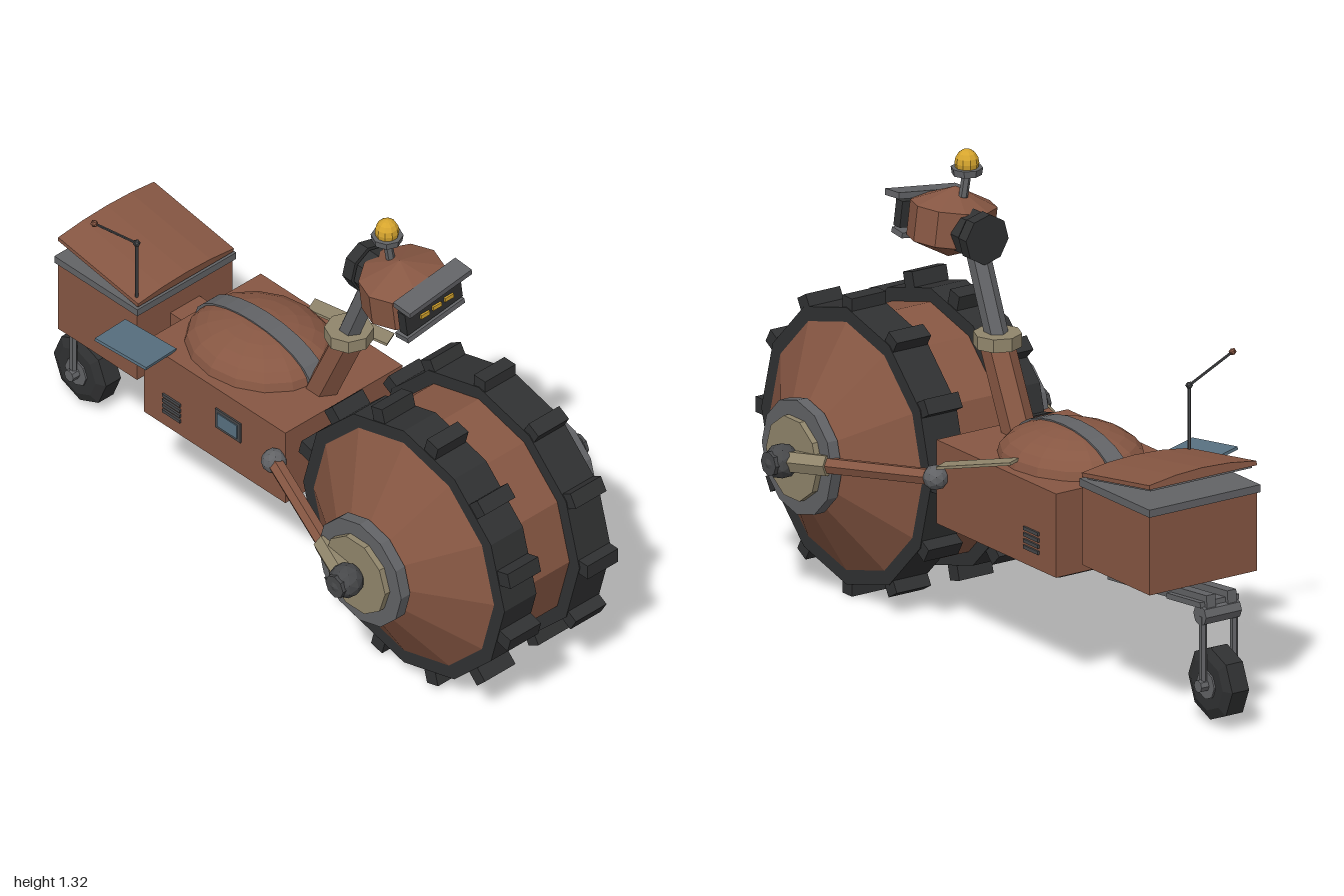
import * as THREE from 'three';

const mat = (name, color) => new THREE.MeshStandardMaterial({ name, color, flatShading: true });

export function createModel() {
  const rust = mat('rust brown paint', 0x875743);
  const rubber = mat('black rubber', 0x303132);
  const steel = mat('grey steel', 0x626366);
  const darkSteel = mat('dark steel', 0x47484a);
  const sand = mat('sand metal', 0x91866c);
  const amber = mat('amber light', 0xd6a52e);
  const slate = mat('slate blue panel', 0x587080);

  const root = new THREE.Group();
  root.name = 'vehicle';

  const add = (name, geo, m, pos = [0, 0, 0], rot = [0, 0, 0], parent = root) => {
    const mesh = new THREE.Mesh(geo, m);
    mesh.name = name;
    mesh.position.set(...pos);
    mesh.rotation.set(...rot);
    parent.add(mesh);
    return mesh;
  };
  const box = (name, size, m, pos, rot, parent) => add(name, new THREE.BoxGeometry(...size), m, pos, rot, parent);
  // Cylinder lying along x
  const axleCyl = (r1, r2, len, sides) => new THREE.CylinderGeometry(r1, r2, len, sides).rotateZ(-Math.PI / 2);
  // Round bar between two points
  const bar = (name, a, b, r, m, sides = 6, parent = root, r2 = r) => {
    const p = new THREE.Vector3(...a), q = new THREE.Vector3(...b);
    const mesh = add(name, new THREE.CylinderGeometry(r2, r, p.distanceTo(q), sides), m, [0, 0, 0], [0, 0, 0], parent);
    mesh.position.copy(p).add(q).multiplyScalar(0.5);
    mesh.quaternion.setFromUnitVectors(new THREE.Vector3(0, 1, 0), q.sub(p).normalize());
    return mesh;
  };
  const lathe = (pts, sides) =>
    new THREE.LatheGeometry(pts.map(p => new THREE.Vector2(...p)), sides).rotateZ(-Math.PI / 2);

  // Front roller: drum with conical ends and two treaded tyres
  const wheel = new THREE.Group();
  wheel.name = 'frontWheel';
  wheel.position.set(0, 0.43, 0.575);
  root.add(wheel);
  add('drum', lathe([[0, -0.335], [0.14, -0.335], [0.36, -0.2], [0.36, 0.2], [0.14, 0.335], [0, 0.335]], 12),
    rust, [0, 0, 0], [0, 0, 0], wheel);
  for (const s of [1, -1]) {
    add('tyre', lathe([[0.34, -0.06], [0.4, -0.06], [0.4, 0.06], [0.34, 0.06]], 12), rubber,
      [s * 0.141, 0, 0], [0, 0, 0], wheel);
    for (let i = 0; i < 12; i++) {
      const a = i * Math.PI / 6 + (s < 0 ? Math.PI / 12 : 0);
      box('treadBlock', [0.115, 0.06, 0.045], rubber,
        [s * 0.141, 0.4 * Math.cos(a), 0.4 * Math.sin(a)], [a, 0, 0], wheel);
    }
    add('hubDisc', axleCyl(0.165, 0.165, 0.034, 12), steel, [s * 0.35, 0, 0], [0, 0, 0], wheel);
    add('hubCap', axleCyl(0.12, 0.12, 0.018, 10), sand, [s * 0.376, 0, 0], [0, 0, 0], wheel);
    add('axleBall', new THREE.IcosahedronGeometry(0.05, 1), darkSteel, [s * 0.418, 0, 0], [0, 0, 0], wheel);
    add('axleEnd', axleCyl(0.035, 0.035, 0.04, 8), darkSteel, [s * 0.443, 0, 0], [0, 0, 0], wheel);

    // Side arm from the body to the axle
    const a = [s * 0.24, 0.48, 0.1], b = [s * 0.415, 0.432, 0.57];
    const at = t => a.map((v, i) => v + (b[i] - v) * t);
    bar('sideArm', a, b, 0.024, rust, 6);
    bar('armSleeve', at(0.7), at(0.95), 0.032, sand, 6);
    add('armJoint', new THREE.IcosahedronGeometry(0.036, 1), steel, a);
  }

  // Body
  box('body', [0.44, 0.242, 0.562], rust, [0, 0.457, -0.157]);
  box('bellyPlate', [0.35, 0.022, 0.46], rubber, [0, 0.325, -0.16]);
  const dome = new THREE.SphereGeometry(1, 16, 6, 0, Math.PI * 2, 0, Math.PI / 2);
  add('seatDome', dome, rust, [0, 0.578, -0.205]).scale.set(0.195, 0.095, 0.225);
  // Steel band arching over the dome
  const arc = (rz, ry, flip) => Array.from({ length: 13 }, (_, i) => {
    const t = Math.PI * (flip ? 12 - i : i) / 12;
    return new THREE.Vector2(rz * Math.cos(t), ry * Math.sin(t));
  });
  const band = new THREE.Shape([...arc(0.23, 0.1, false), ...arc(0.21, 0.08, true)]);
  add('domeBand', new THREE.ExtrudeGeometry(band, { depth: 0.058, bevelEnabled: false })
    .translate(0, 0, -0.029).rotateY(Math.PI / 2), steel, [0, 0.576, -0.205]);
  for (const s of [1, -1])
    for (let i = 0; i < 4; i++)
      box('ventSlat', [0.008, 0.01, 0.07], darkSteel, [s * 0.222, 0.386 + i * 0.018, -0.325]);
  box('sideFrame', [0.008, 0.065, 0.1], darkSteel, [-0.221, 0.48, -0.1]);
  box('sideWindow', [0.008, 0.045, 0.078], slate, [-0.224, 0.48, -0.1]);
  box('solarPanel', [0.138, 0.009, 0.178], slate, [-0.264, 0.598, -0.425], [0.1, 0.15, -0.15]);
  const flap = box('sideFlap', [0.052, 0.008, 0.24], sand, [0.248, 0.58, -0.11]);
  flap.lookAt(0.298, 0.553, 0);

  // Neck
  bar('neckBase', [0, 0.56, 0.035], [0, 0.81, 0.15], 0.048, rust, 6);
  add('neckCollar', new THREE.CylinderGeometry(0.068, 0.068, 0.038, 8), sand, [0, 0.82, 0.145]);
  bar('neck', [0, 0.82, 0.145], [0, 1.04, 0.236], 0.033, steel, 6);

  // Head, rolled slightly to one side
  const head = new THREE.Group();
  head.name = 'head';
  head.position.set(0, 1.1, 0.36);
  head.rotation.z = 0.13;
  root.add(head);
  add('skull', new THREE.SphereGeometry(1, 10, 3), rust, [0, 0, 0], [0, 0, 0], head).scale.set(0.142, 0.1, 0.132);
  for (const [z, r] of [[-0.108, 0.068], [-0.15, 0.072]])
    add('backDrum', new THREE.CylinderGeometry(r, r, 0.036, 8).rotateX(Math.PI / 2), rubber, [0, -0.008, z], [0, 0, 0], head);
  box('facePlate', [0.21, 0.075, 0.03], rubber, [0.002, 0, 0.105], [0, 0, 0], head);
  box('brow', [0.235, 0.018, 0.065], steel, [0.012, 0.055, 0.112], [0.08, 0, 0], head);
  box('jaw', [0.215, 0.016, 0.05], steel, [0, -0.053, 0.1], [-0.1, 0, 0], head);
  for (const x of [-0.035, 0.01, 0.055])
    box('eye', [0.032, 0.013, 0.008], amber, [x, -0.004, 0.122], [0, 0, -0.13], head);

  // Beacon
  bar('beaconStalk', [-0.008, 1.18, 0.318], [-0.018, 1.25, 0.315], 0.013, steel);
  add('beaconBase', new THREE.CylinderGeometry(0.045, 0.042, 0.02, 8), steel, [-0.018, 1.255, 0.315]);
  add('beaconLamp', new THREE.SphereGeometry(1, 10, 8), amber, [-0.018, 1.278, 0.315]).scale.set(0.034, 0.039, 0.034);

  // Rear cargo box with a raised, gently arched lid
  box('boxLink', [0.11, 0.1, 0.09], rust, [0, 0.5, -0.475]);
  box('cargoBox', [0.36, 0.235, 0.315], rust, [0, 0.502, -0.665]);
  box('cargoRim', [0.372, 0.022, 0.33], steel, [0, 0.623, -0.665]);
  const lid = new THREE.Shape();
  lid.moveTo(-0.18, 0);
  lid.lineTo(0.18, 0);
  for (const [x, y] of [[0.18, 0.012], [0.09, 0.024], [0, 0.028], [-0.09, 0.024], [-0.18, 0.012]]) lid.lineTo(x, y);
  const lidGroup = new THREE.Group();
  lidGroup.name = 'cargoLid';
  lidGroup.position.set(0, 0.636, -0.505);
  lidGroup.rotation.x = 0.16;
  root.add(lidGroup);
  add('lidTop', new THREE.ExtrudeGeometry(lid, { depth: 0.322, bevelEnabled: false }), rust, [0, 0.002, -0.322], [0, 0, 0], lidGroup);
  box('lidLining', [0.34, 0.008, 0.3], steel, [0, -0.001, -0.161], [0, 0, 0], lidGroup);

  // Antenna
  bar('antennaMast', [-0.165, 0.62, -0.525], [-0.165, 0.84, -0.525], 0.005, darkSteel);
  add('antennaJoint', new THREE.IcosahedronGeometry(0.011, 0), darkSteel, [-0.165, 0.84, -0.525]);
  bar('antennaWhip', [-0.165, 0.84, -0.525], [-0.27, 0.932, -0.582], 0.004, darkSteel);
  add('antennaTip', new THREE.IcosahedronGeometry(0.011, 0), rust, [-0.27, 0.932, -0.582]);

  // Tail boom and rear castor
  box('boomClamp', [0.13, 0.05, 0.14], rust, [0, 0.352, -0.495], [0.1, 0, 0]);
  for (const s of [1, -1]) box('boomRail', [0.03, 0.036, 0.47], steel, [s * 0.035, 0.34, -0.675], [0.1, 0, 0]);
  box('boomPlate', [0.13, 0.016, 0.16], steel, [0, 0.346, -0.82], [0.1, 0, 0]);
  add('forkHead', axleCyl(0.03, 0.03, 0.12, 8), steel, [0, 0.322, -0.89]);
  for (const s of [1, -1]) bar('forkLeg', [s * 0.052, 0.12, -0.895], [s * 0.052, 0.32, -0.895], 0.011, steel);
  add('rearAxle', axleCyl(0.018, 0.018, 0.14, 8), steel, [0, 0.12, -0.895]);
  add('rearTyre', lathe([[0, -0.04], [0.075, -0.04], [0.104, -0.028], [0.104, 0.028], [0.075, 0.04], [0, 0.04]], 8),
    rubber, [0, 0.12, -0.895]);
  add('rearHub', axleCyl(0.042, 0.042, 0.09, 8), steel, [0, 0.12, -0.895]);

  return root;
}
